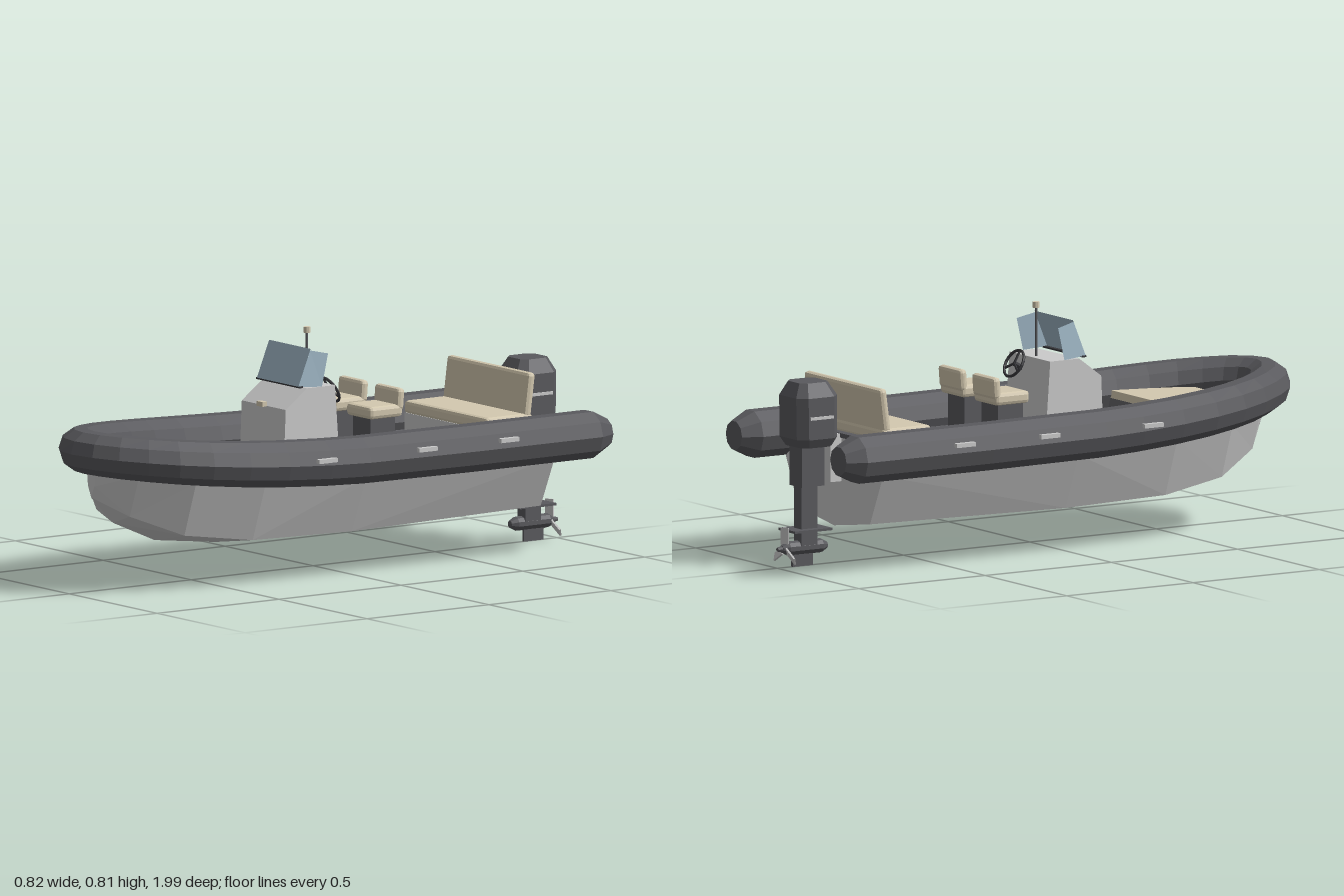
import * as THREE from 'three';
import { RoundedBoxGeometry } from 'three/addons/geometries/RoundedBoxGeometry.js';

const mat = (color) => new THREE.MeshStandardMaterial({ color, flatShading: true, side: THREE.DoubleSide });
const V = (x, y, z) => new THREE.Vector3(x, y, z);

export function createModel() {
  const boat = new THREE.Group();
  boat.name = 'inflatableBoat';
  const light = mat(0xcccccc), hullGrey = mat(0xbcbcbc), dark = mat(0x5a5a5e), black = mat(0x38383c);
  const deckGrey = mat(0x66666b), tan = mat(0xd4c9b0), glass = mat(0xa2bac9);

  const add = (name, geometry, material, x = 0, y = 0, z = 0, parent = boat) => {
    const mesh = new THREE.Mesh(geometry, material);
    mesh.name = name;
    mesh.position.set(x, y, z);
    parent.add(mesh);
    return mesh;
  };
  const box = (name, material, w, h, d, x, y, z) => add(name, new THREE.BoxGeometry(w, h, d), material, x, y, z);
  const pad = (name, w, h, d, x, y, z) => add(name, new RoundedBoxGeometry(w, h, d, 1, 0.012), tan, x, y, z);

  // Skin over a row of cross-sections, optionally closed around and capped
  const loft = (rings, closed = false, caps = false) => {
    const n = rings[0].length, pos = [], index = [];
    rings.forEach((ring) => ring.forEach((p) => pos.push(p.x, p.y, p.z)));
    for (let i = 0; i < rings.length - 1; i++) {
      for (let j = 0; j < (closed ? n : n - 1); j++) {
        const a = i * n + j, b = i * n + ((j + 1) % n);
        index.push(a, b, a + n, b, b + n, a + n);
      }
    }
    if (caps) {
      const end = (rings.length - 1) * n;
      for (let j = 1; j < n - 1; j++) index.push(0, j + 1, j, end, end + j, end + j + 1);
    }
    const g = new THREE.BufferGeometry();
    g.setAttribute('position', new THREE.Float32BufferAttribute(pos, 3));
    g.setIndex(index);
    g.computeVertexNormals();
    return g;
  };

  // Hull stations: z, keel y, chine x, chine y, top x, top y
  const stations = [
    [-0.77, 0.125, 0.22, 0.158, 0.30, 0.33], [0, 0.107, 0.22, 0.145, 0.30, 0.335],
    [0.4, 0.118, 0.212, 0.152, 0.285, 0.35], [0.65, 0.148, 0.17, 0.185, 0.237, 0.37],
    [0.82, 0.222, 0.095, 0.255, 0.15, 0.40], [0.91, 0.316, 0.018, 0.355, 0.025, 0.415]];
  add('hullBottom', loft(stations.map(([z, k, cx, cy]) => [V(-cx, cy, z), V(0, k, z), V(cx, cy, z)])), hullGrey);
  for (const s of [1, -1]) {
    add('hullSide', loft(stations.map(([z, , cx, cy, tx, ty]) => [V(s * cx, cy, z), V(s * tx, ty, z)])), hullGrey);
  }
  const [bz, bk, bcx, bcy, btx, bty] = stations[5];
  add('stem', loft([[V(-btx, bty, bz), V(btx, bty, bz)], [V(-bcx, bcy, bz), V(bcx, bcy, bz)],
    [V(0, bk, bz), V(0, bk, bz)]]), hullGrey);
  const transom = new THREE.Shape([[0, 0.125], [0.22, 0.158], [0.30, 0.33], [0.25, 0.43],
    [-0.25, 0.43], [-0.30, 0.33], [-0.22, 0.158]].map(([x, y]) => new THREE.Vector2(x, y)));
  add('transom', new THREE.ExtrudeGeometry(transom, { depth: 0.015, bevelEnabled: false }), hullGrey, 0, 0, -0.775);
  box('transomCap', dark, 0.48, 0.015, 0.03, 0, 0.435, -0.765);

  // Floors, as wide as the top of the hull, ending under the tube
  const floor = (zs, y) => loft(zs.map((z) => {
    const i = Math.max(1, stations.findIndex((s) => s[0] >= z)), a = stations[i - 1], b = stations[i];
    const w = THREE.MathUtils.mapLinear(z, a[0], b[0], a[4], b[4]);
    return [V(-w, y, z), V(w, y, z)];
  }));
  add('deck', floor([-0.77, 0, 0.4, 0.47], 0.375), deckGrey);
  add('bowDeck', floor([0.46, 0.65, 0.82, 0.9], 0.415), deckGrey);
  box('bowStep', deckGrey, 0.5, 0.04, 0.01, 0, 0.395, 0.465);
  const bowPad = (y, d) => [[0.46 + d, 0.235 - d], [0.6, 0.215 - d], [0.74 - d, 0.155 - d]]
    .map(([z, w]) => [V(-w, y, z), V(w, y, z)]);
  const padTop = bowPad(0.44, 0.005), padLow = bowPad(0.414, 0);
  add('bowCushion', loft(padTop.map(([l, r], i) => [padLow[i][0], l, r, padLow[i][1]]), true, true), tan);

  // Buoyancy tube: a decagon swept around the plan, rising and thinning to the bow, tapering at the stern
  const half = [[0.32, -0.90], [0.32, -0.4], [0.32, 0.05], [0.318, 0.2], [0.308, 0.36], [0.289, 0.5], [0.26, 0.62],
    [0.222, 0.72], [0.175, 0.80], [0.122, 0.865], [0.062, 0.905]];
  const path = [[0.32, -0.965, 0.05], ...half, [0, 0.92], ...half.map(([x, z]) => [-x, z]).reverse(),
    [-0.32, -0.965, 0.05]];
  const tubeRings = path.map(([x, z, endRadius], i) => {
    const p = path[Math.max(i - 1, 0)], q = path[Math.min(i + 1, path.length - 1)];
    const len = Math.hypot(q[0] - p[0], q[1] - p[1]);
    const nx = (q[1] - p[1]) / len, nz = -(q[0] - p[0]) / len;
    const rise = Math.max(0, (z + 0.2) / 1.12) ** 2;
    const y = 0.401 + 0.068 * rise, r = endRadius ?? 0.082 - 0.009 * rise;
    return Array.from({ length: 10 }, (_, k) => {
      const t = k * Math.PI / 5;
      return V(x + nx * r * Math.cos(t), y + r * Math.sin(t), z + nz * r * Math.cos(t));
    });
  });
  add('buoyancyTube', loft(tubeRings, true, true), dark);
  for (const s of [1, -1]) {
    for (const z of [0.23, -0.18, -0.515]) box('tubeHandle', light, 0.018, 0.014, 0.075, s * 0.4, 0.428, z);
  }
  box('bowCleat', light, 0.035, 0.025, 0.02, 0, 0.437, 0.843);

  // Steering console
  const side = new THREE.Shape([[0.21, 0.375], [0.202, 0.56], [0.115, 0.625], [0, 0.625], [-0.018, 0.375]]
    .map(([z, y]) => new THREE.Vector2(z, y)));
  add('console', new THREE.ExtrudeGeometry(side, { depth: 0.25, bevelEnabled: false })
    .rotateY(-Math.PI / 2).translate(0.125, 0, 0), light);
  box('consoleLamp', tan, 0.034, 0.016, 0.02, 0, 0.566, 0.21);

  // Windshield with flared side wings and a dark sill
  add('windshield', loft([[V(-0.118, 0.632, 0.145), V(0.118, 0.632, 0.145)],
    [V(-0.118, 0.755, 0.095), V(0.118, 0.755, 0.095)]]), glass);
  for (const s of [1, -1]) {
    add('windshieldWing', loft([[V(s * 0.118, 0.632, 0.145), V(s * 0.127, 0.625, 0.055)],
      [V(s * 0.118, 0.75, 0.097), V(s * 0.127, 0.735, 0.03)]]), glass);
  }
  box('windshieldSill', black, 0.245, 0.006, 0.015, 0, 0.63, 0.137);
  add('antennaMast', new THREE.CylinderGeometry(0.004, 0.004, 0.17, 8), dark, 0, 0.71, 0.025);
  add('antennaLamp', new THREE.CylinderGeometry(0.012, 0.012, 0.02, 8), tan, 0, 0.798, 0.025);

  // Steering wheel
  const wheel = new THREE.Group();
  wheel.name = 'steeringWheel';
  wheel.position.set(0.05, 0.598, -0.03);
  wheel.rotation.x = 0.52;
  boat.add(wheel);
  add('wheelRim', new THREE.TorusGeometry(0.048, 0.005, 6, 20), black, 0, 0, 0, wheel);
  for (let i = 0; i < 3; i++) {
    const t = Math.PI / 2 + i * Math.PI * 2 / 3;
    add('wheelSpoke', new THREE.BoxGeometry(0.046, 0.006, 0.006), black,
      0.023 * Math.cos(t), 0.023 * Math.sin(t), 0, wheel).rotation.z = t;
  }
  add('wheelColumn', new THREE.CylinderGeometry(0.009, 0.009, 0.04, 8).rotateX(Math.PI / 2), black, 0, 0, 0.02, wheel);

  // Two helm seats
  for (const s of [1, -1]) {
    box('seatPedestal', dark, 0.10, 0.13, 0.10, s * 0.103, 0.44, -0.175);
    pad('seatCushion', 0.14, 0.042, 0.135, s * 0.103, 0.523, -0.178);
    pad('seatBack', 0.14, 0.075, 0.03, s * 0.103, 0.56, -0.238).rotation.x = -0.08;
  }

  // Stern bench
  box('benchBase', light, 0.46, 0.06, 0.20, 0, 0.405, -0.642);
  pad('benchCushion', 0.475, 0.045, 0.19, 0, 0.453, -0.637);
  pad('benchBack', 0.47, 0.15, 0.03, 0, 0.537, -0.722).rotation.x = -0.13;

  // Outboard motor: chamfered cowl, leg, plate, gearcase and skeg
  const cowlRing = (y, w, front, back, c) => [[w - c, front], [w, front - c], [w, back + c], [w - c, back],
    [c - w, back], [-w, back + c], [-w, front - c], [c - w, front]].map(([x, z]) => V(x, y, z));
  add('motorCowl', loft([cowlRing(0.405, 0.066, -0.81, -0.94, 0.025), cowlRing(0.435, 0.083, -0.797, -0.957, 0.03),
    cowlRing(0.575, 0.082, -0.797, -0.959, 0.03), cowlRing(0.622, 0.055, -0.825, -0.935, 0.02)], true, true), dark);
  for (const s of [1, -1]) box('cowlStripe', light, 0.006, 0.01, 0.09, s * 0.084, 0.507, -0.877);
  box('motorBracket', light, 0.09, 0.16, 0.045, 0, 0.36, -0.795);
  box('motorMidsection', dark, 0.075, 0.15, 0.09, 0, 0.345, -0.882);
  box('motorLeg', dark, 0.045, 0.22, 0.065, 0, 0.17, -0.887);
  box('cavitationPlate', dark, 0.10, 0.008, 0.15, 0, 0.123, -0.888);
  const gear = [[0, -0.1], [0.012, -0.098], [0.024, -0.075], [0.024, 0.055], [0.012, 0.078], [0, 0.082]]
    .map(([r, y]) => new THREE.Vector2(r, y));
  add('gearcase', new THREE.LatheGeometry(gear, 10).rotateX(Math.PI / 2), dark, 0, 0.063, -0.885);
  box('skeg', dark, 0.01, 0.06, 0.08, 0, 0.03, -0.902);

  // Propeller
  const prop = new THREE.Group();
  prop.name = 'propeller';
  prop.position.set(0, 0.063, -0.97);
  boat.add(prop);
  add('propellerHub', new THREE.CylinderGeometry(0.017, 0.007, 0.05, 8).rotateX(Math.PI / 2), dark, 0, 0, -0.005, prop);
  for (let i = 0; i < 3; i++) {
    const blade = new THREE.BoxGeometry(0.03, 0.058, 0.006).rotateY(0.45).translate(0, 0.042, 0);
    add('propellerBlade', blade, light, 0, 0, 0, prop).rotation.z = i * Math.PI * 2 / 3;
  }
  return boat;
}
